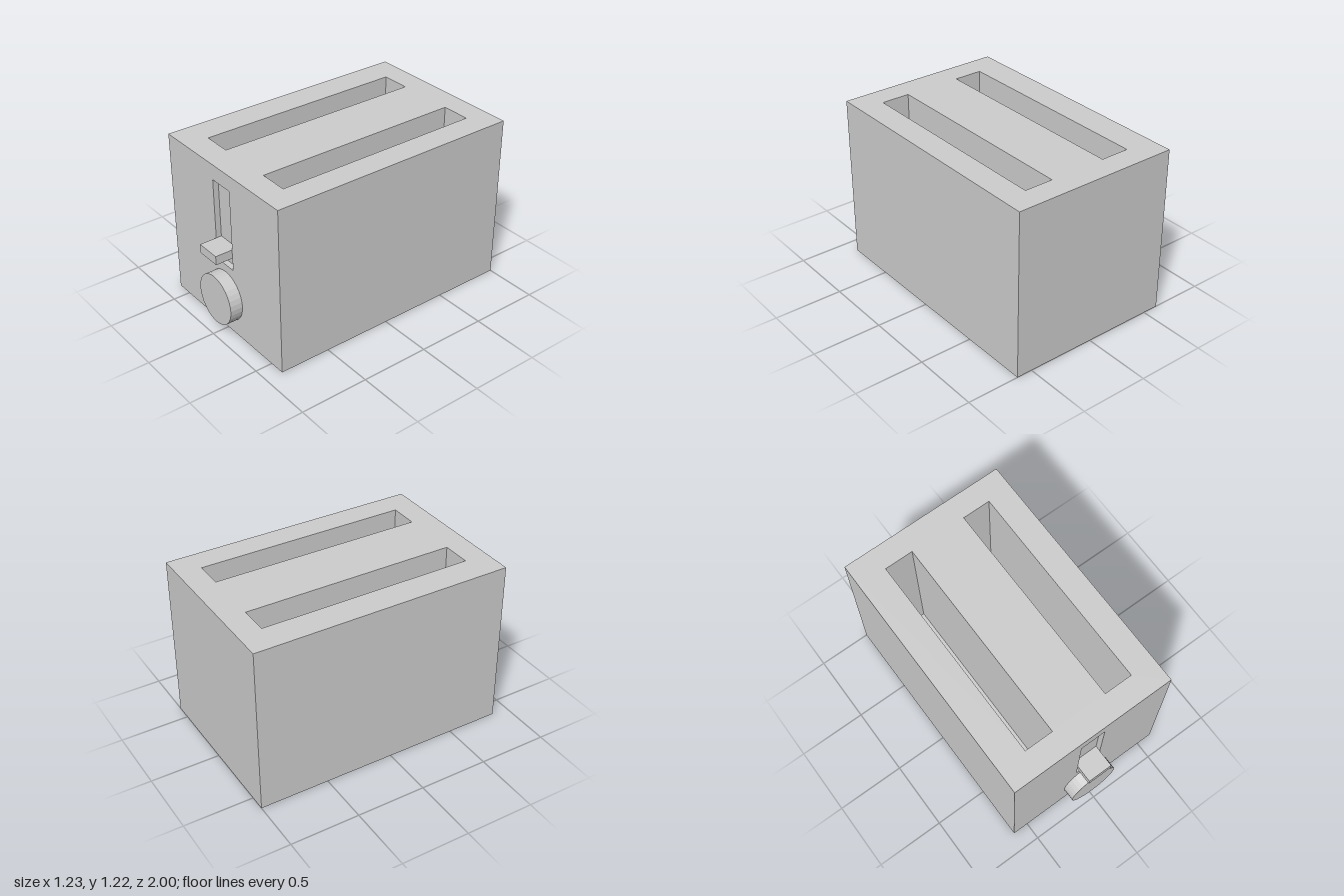
import * as THREE from 'three';
import { mergeGeometries } from 'three/addons/utils/BufferGeometryUtils.js';

const W = 0.615, H = 1.22, BACK = -1, FRONT = 0.875;
const SLOT_FLOOR = 0.15, RECESS = 0.04;

// Adds a counter-clockwise rectangle to a Shape or Path
function rect(path, x0, y0, x1, y1) {
  path.moveTo(x0, y0);
  path.lineTo(x1, y0);
  path.lineTo(x1, y1);
  path.lineTo(x0, y1);
  path.closePath();
  return path;
}

// Flat rectangular panel facing +z with rectangular openings
function panel(bounds, holes = []) {
  const shape = rect(new THREE.Shape(), ...bounds);
  for (const h of holes) shape.holes.push(rect(new THREE.Path(), ...h));
  return new THREE.ShapeGeometry(shape);
}

// Inward-facing box with one side left open (2 = top, 4 = front)
function pocket(x0, x1, y0, y1, z0, z1, openSide) {
  const g = new THREE.BoxGeometry(x1 - x0, y1 - y0, z1 - z0);
  const index = Array.from(g.index.array);
  index.splice(openSide * 6, 6);
  g.setIndex(index);
  g.clearGroups();
  g.scale(-1, 1, 1);
  g.computeVertexNormals();
  return g.translate((x0 + x1) / 2, (y0 + y1) / 2, (z0 + z1) / 2);
}

export function createModel() {
  const group = new THREE.Group();
  const grey = new THREE.MeshStandardMaterial({ color: 0xcccccc });
  grey.name = 'light grey';

  const add = (name, geometry) => {
    const mesh = new THREE.Mesh(geometry, grey);
    mesh.name = name;
    group.add(mesh);
    return mesh;
  };

  // Casing: six panels, two bread slots and the lever recess
  const slots = [[-0.405, -0.195], [0.222, 0.43]];
  const slotBack = -0.83, slotFront = 0.70;
  const track = [-0.0925, 0.51, 0.0925, 1.108];
  const top = panel([-W, -FRONT, W, -BACK],
    slots.map(([a, b]) => [a, -slotFront, b, -slotBack]));
  const bottom = panel([-W, BACK, W, FRONT]);
  const side = () => panel([-FRONT, 0, -BACK, H]);
  add('casing', mergeGeometries([
    top.rotateX(-Math.PI / 2).translate(0, H, 0),
    bottom.rotateX(Math.PI / 2),
    panel([-W, 0, W, H], [track]).translate(0, 0, FRONT),
    panel([-W, 0, W, H]).rotateY(Math.PI).translate(0, 0, BACK),
    side().rotateY(Math.PI / 2).translate(W, 0, 0),
    panel([BACK, 0, FRONT, H]).rotateY(-Math.PI / 2).translate(-W, 0, 0),
    ...slots.map(([a, b]) => pocket(a, b, SLOT_FLOOR, H, slotBack, slotFront, 2)),
    pocket(track[0], track[2], track[1], track[3], FRONT - RECESS, FRONT, 4),
  ]));

  // Push-down lever sitting in its track
  const leverLength = 1 - FRONT + RECESS;
  add('lever', new THREE.BoxGeometry(0.183, 0.065, leverLength))
    .position.set(0, 0.6375, 1 - leverLength / 2);

  // Browning knob, faceted around its rim
  const knob = new THREE.CylinderGeometry(0.183, 0.183, 0.092, 32).toNonIndexed();
  knob.computeVertexNormals();
  knob.rotateX(Math.PI / 2);
  add('knob', knob).position.set(0, 0.269, FRONT + 0.046);

  return group;
}
